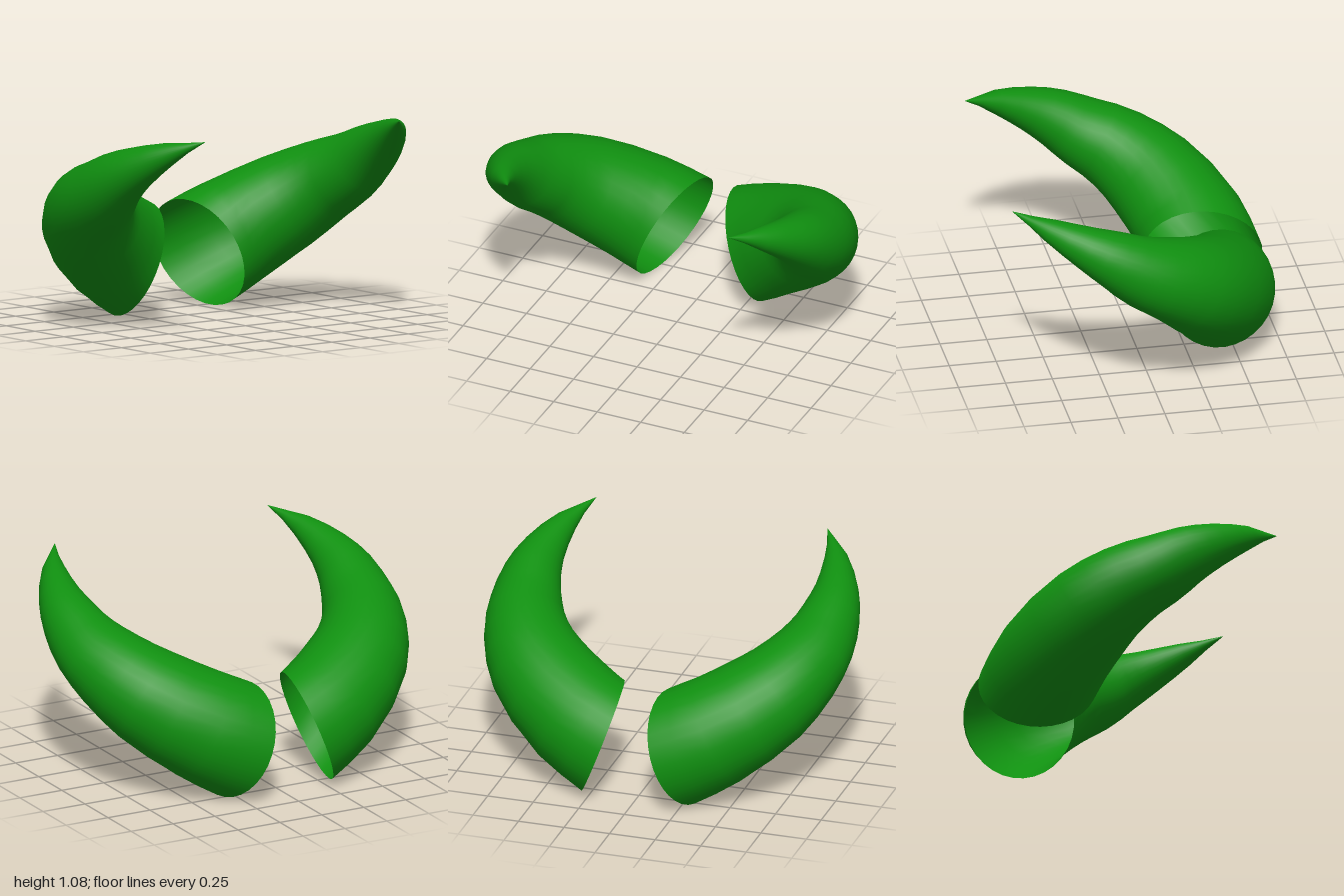
import * as THREE from 'three';

// Centreline stations of one horn: x, y, z, radius
const STATIONS = [
  [-0.445, 0.30, 0.215, 0.31],
  [-0.395, 0.40, 0.40, 0.295],
  [-0.245, 0.555, 0.635, 0.262],
  [-0.09, 0.665, 0.75, 0.225],
  [0.08, 0.755, 0.805, 0.19],
  [0.225, 0.845, 0.82, 0.155],
  [0.375, 0.925, 0.803, 0.115],
  [0.56, 1.015, 0.74, 0.062],
  [0.74, 1.09, 0.635, 0.001],
];
const RINGS = 16;
const SIDES = 32;
const BASE_NORMAL = new THREE.Vector3(-0.18, 0.35, 0.92).normalize();

// Tapered curved tube, open at the base; side = 1 or -1 mirrors it in z
function hornGeometry(side) {
  const path = new THREE.CatmullRomCurve3(STATIONS.map(([x, y, z]) => new THREE.Vector3(x, y, z)));
  const taper = new THREE.SplineCurve(STATIONS.map((s, i) => new THREE.Vector2(i, s[3])));
  const forward = new THREE.Vector3(0, 0, 1);
  const turn = new THREE.Quaternion();
  const positions = [];
  const index = [];

  for (let i = 0; i <= RINGS; i++) {
    const u = i / RINGS;
    const centre = path.getPoint(u);
    const radius = taper.getPoint(u).y;
    // The opening is cut at its own angle, easing into the path direction
    const normal = path.getTangent(u).lerp(BASE_NORMAL, Math.max(0, 1 - u / 0.2)).normalize();
    turn.setFromUnitVectors(forward, normal);
    for (let j = 0; j < SIDES; j++) {
      const a = (j / SIDES) * Math.PI * 2;
      const p = new THREE.Vector3(Math.cos(a), Math.sin(a), 0)
        .multiplyScalar(radius).applyQuaternion(turn).add(centre);
      positions.push(p.x, p.y, p.z * side);
    }
  }

  for (let i = 0; i < RINGS; i++) {
    for (let j = 0; j < SIDES; j++) {
      const k = (j + 1) % SIDES;
      const a = i * SIDES + j, b = i * SIDES + k;
      const c = a + SIDES, d = b + SIDES;
      if (side > 0) index.push(a, b, d, a, d, c);
      else index.push(a, d, b, a, c, d);
    }
  }

  const geometry = new THREE.BufferGeometry();
  geometry.setAttribute('position', new THREE.Float32BufferAttribute(positions, 3));
  geometry.setIndex(index);
  geometry.computeVertexNormals();
  return geometry;
}

export function createModel() {
  const group = new THREE.Group();
  group.name = 'hornPair';
  const material = new THREE.MeshStandardMaterial({ color: 0x109010, side: THREE.DoubleSide });

  for (const [name, side] of [['frontHorn', 1], ['backHorn', -1]]) {
    const horn = new THREE.Mesh(hornGeometry(side), material);
    horn.name = name;
    group.add(horn);
  }
  return group;
}
